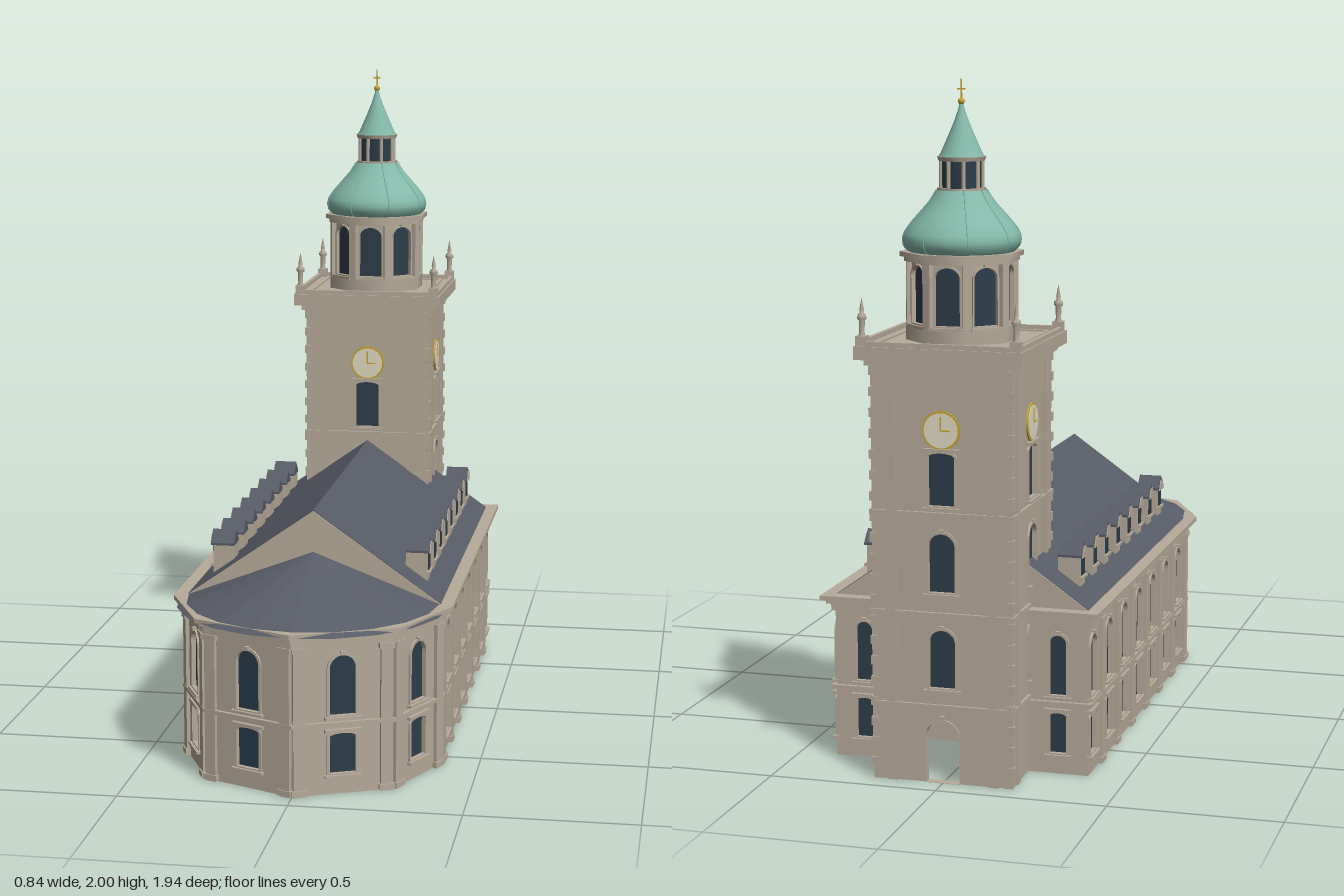
import * as THREE from 'three';

const mat = (name, color) => { const m = new THREE.MeshStandardMaterial({ color }); m.name = name; return m; };
const stone = mat('stone', 0xb7ab99), slate = mat('slate', 0x585c67), copper = mat('copper', 0x84b9a9);
const glass = mat('glass', 0x2d3e4b), gold = mat('gold', 0xc9a432), cream = mat('cream', 0xe2dbc4);

function add(parent, name, geo, material, x = 0, y = 0, z = 0) {
  const m = new THREE.Mesh(geo, material);
  m.name = name;
  m.position.set(x, y, z);
  parent.add(m);
  return m;
}
const box = (w, h, d) => new THREE.BoxGeometry(w, h, d);
const cyl = (r0, r1, h, n) => new THREE.CylinderGeometry(r0, r1, h, n);
const lathe = (pts, n) => new THREE.LatheGeometry(pts.map(p => new THREE.Vector2(...p)), n);
const extrude = (shape, depth) => new THREE.ExtrudeGeometry(shape, { depth, bevelEnabled: false, curveSegments: 8 });
const polygon = pts => new THREE.Shape(pts.map(p => new THREE.Vector2(...p)));
function group(parent, name, x = 0, y = 0, z = 0, turn = 0) {
  const g = new THREE.Group();
  g.name = name;
  g.position.set(x, y, z);
  g.rotation.y = turn;
  parent.add(g);
  return g;
}

// Arched opening outline, grown by e on all sides
function arch({ u, y, w, h, rise }, e = 0, T = THREE.Shape) {
  const s = new T(), r = w / 2 + e;
  s.moveTo(u - r, y - e);
  s.lineTo(u + r, y - e);
  s.lineTo(u + r, y + h - rise);
  s.absellipse(u, y + h - rise, r, rise + e, 0, Math.PI, false);
  s.closePath();
  return s;
}

// Thin wall with arched openings, facing local +z, with frames, sills and panes
function wall(parent, name, len, h, openings) {
  const s = polygon([[-len / 2, 0], [len / 2, 0], [len / 2, h], [-len / 2, h]]);
  openings.forEach(o => s.holes.push(arch(o, 0, THREE.Path)));
  add(parent, name, extrude(s, 0.02), stone, 0, 0, -0.02);
  for (const o of openings) {
    if (!o.open) add(parent, 'windowPane', extrude(arch(o, 0.001), 0.004), glass, 0, 0, -0.012);
    const f = arch(o, o.e ?? 0.008);
    f.holes.push(arch(o, 0, THREE.Path));
    add(parent, 'windowFrame', extrude(f, 0.006), stone);
    if (o.y > 0.01) add(parent, 'windowSill', box(o.w + 0.03, 0.008, 0.02), stone, o.u, o.y - 0.008, 0.004);
    add(parent, 'windowHood', box(o.rise > 0.02 ? 0.014 : o.w + 0.03, 0.01, 0.016), stone, o.u, o.y + o.h + 0.008, 0.004);
  }
}
const lower = (u, w = 0.068, open = false) => ({ u, y: 0.062, w, h: 0.12, rise: 0.01, open });
const upper = (u, w = 0.068, open = false) => ({ u, y: 0.235, w, h: 0.178, rise: w / 2, open });

function pilaster(parent, u) {
  add(parent, 'pilaster', box(0.036, 0.45, 0.016), stone, u, 0.225, 0.003);
  for (const y of [0.012, 0.435]) add(parent, 'pilasterCap', box(0.046, 0.016, 0.024), stone, u, y, 0.003);
}

// Church plan (x, z), pushed outwards by o
const half = [[0.385, -0.755], [0.385, 0.575], [0.275, 0.81], [0, 0.93]];
const plan = [...half, ...half.slice(0, 3).reverse().map(([x, z]) => [-x, z])];
function grown(o) {
  const n = plan.length;
  const normal = (a, b) => { const dx = b[0] - a[0], dz = b[1] - a[1], l = Math.hypot(dx, dz); return [dz / l, -dx / l]; };
  return plan.map((p, i) => {
    const a = normal(plan[(i + n - 1) % n], p), b = normal(p, plan[(i + 1) % n]);
    const k = o / (1 + a[0] * b[0] + a[1] * b[1]);
    return [p[0] + (a[0] + b[0]) * k, -(p[1] + (a[1] + b[1]) * k)];
  });
}
function band(parent, name, o, y, h, hollow) {
  const s = polygon(grown(o));
  if (hollow) s.holes.push(new THREE.Path(grown(-0.015).map(p => new THREE.Vector2(...p))));
  add(parent, name, extrude(s, h).rotateX(-Math.PI / 2), stone, 0, y, 0);
}

function buildNave(root) {
  const nave = group(root, 'nave');
  const zs = [0.44, 0.248, 0.056, -0.136, -0.328, -0.52, -0.711];
  for (const s of [-1, 1]) {
    // Long side wall; local x runs along -z on the +x side
    const side = group(nave, 'sideWall', s * 0.385, 0, -0.09, s * Math.PI / 2);
    const u = z => -s * (z + 0.09);
    wall(side, 'naveWall', 1.33, 0.47, zs.flatMap((z, i) => [lower(u(z)), upper(u(z), 0.068, s < 0 && i === 1)]));
    zs.forEach(z => pilaster(side, u(z + 0.096)));
    // Apse faces
    for (let i = 1; i < 3; i++) {
      const [a, b] = [half[i], half[i + 1]], dx = b[0] - a[0], dz = b[1] - a[1], len = Math.hypot(dx, dz);
      const face = group(nave, 'apseFace', s * (a[0] + b[0]) / 2, 0, (a[1] + b[1]) / 2, Math.atan2(s * dz, -dx));
      wall(face, 'apseWall', len, 0.47, [lower(0, 0.078, s < 0 && i === 1), upper(0, 0.078)]);
      for (const e of [-1, 1]) pilaster(face, e * (len / 2 - 0.02));
    }
    // Back walls beside the tower
    const back = group(nave, 'backWall', s * 0.295, 0, -0.755, Math.PI);
    wall(back, 'naveBackWall', 0.18, 0.47, [lower(0, 0.05), upper(0, 0.05)]);
  }
  band(nave, 'stringCourse', 0.012, 0.205, 0.012, true);
  band(nave, 'frieze', 0.01, 0.443, 0.025, false);
  band(nave, 'cornice', 0.022, 0.465, 0.013, false);
  band(nave, 'corniceTop', 0.036, 0.478, 0.013, false);

  // Main roof with stone gables
  const tri = polygon([[-0.387, 0.488], [0.387, 0.488], [0, 0.762]]);
  add(nave, 'mainRoof', extrude(tri, 1.308), slate, 0, 0, -0.748);
  const gable = polygon([[-0.385, 0.488], [0.385, 0.488], [0, 0.759]]);
  add(nave, 'frontGable', extrude(gable, 0.004), stone, 0, 0, 0.56);
  add(nave, 'backGable', extrude(gable, 0.004), stone, 0, 0, -0.752);

  // Faceted half-cone over the apse
  const cone = new THREE.ConeGeometry(1, 0.155, 10, 1, false, -Math.PI / 2, Math.PI).scale(0.408, 1, 0.4).toNonIndexed();
  cone.computeVertexNormals();
  add(nave, 'apseRoof', cone, slate, 0, 0.5575, 0.563);

  // Dormers, ridge across the slope
  const front = polygon([[-0.03, 0.615], [0.03, 0.615], [0.012, 0.646], [-0.012, 0.646]]);
  const cap = polygon([[-0.036, 0.617], [0.036, 0.617], [0.036, 0.624], [0, 0.66], [-0.036, 0.624]]);
  for (const s of [-1, 1]) for (let i = 0; i < 8; i++) {
    const d = group(nave, 'dormer', 0, 0, 0.42 - i * 0.1466, s * Math.PI / 2);
    add(d, 'dormerBody', box(0.056, 0.115, 0.066), stone, 0, 0.5625, 0.295);
    add(d, 'dormerRoof', extrude(cap, 0.072), slate, 0, 0, 0.262);
    add(d, 'dormerGable', extrude(front, 0.004), stone, 0, 0, 0.333);
    add(d, 'dormerWindow', box(0.032, 0.052, 0.004), glass, 0, 0.587, 0.329);
    add(d, 'dormerSill', box(0.064, 0.008, 0.012), stone, 0, 0.555, 0.33);
  }
}

function buildTower(root) {
  const t = group(root, 'tower', 0, 0, -0.722);
  const R = 0.205;
  const win = (y, h, rise) => ({ u: 0, y, w: 0.078, h, rise });
  for (let i = 0; i < 4; i++) {
    const a = i * Math.PI / 2;
    const f = group(t, 'towerFace', Math.sin(a) * R, 0, Math.cos(a) * R, a);
    const open = [win(0.81, 0.152, 0.012)];
    if (i > 0) open.push(win(0.56, 0.17, 0.038), win(0.28, 0.17, 0.038));
    if (i === 2) open.push({ u: 0, y: 0.001, w: 0.1, h: 0.185, rise: 0.05, open: true, e: 0.001 });
    wall(f, 'towerWall', 2 * R, 1.22, open);
    for (const s of [-1, 1]) add(f, 'towerPilaster', box(0.03, 1.21, 0.012), stone, s * 0.15, 0.605, 0.001);
    for (const y of [0.225, 0.495, 0.785]) add(f, 'stringCourse', box(0.428, 0.014, 0.022), stone, 0, y, -0.002);
    // Flat clock
    add(f, 'clockRim', cyl(0.056, 0.056, 0.006, 32).rotateX(Math.PI / 2), gold, 0, 1.027, 0.002);
    add(f, 'clockFace', cyl(0.05, 0.05, 0.004, 32).rotateX(Math.PI / 2), cream, 0, 1.027, 0.005);
    add(f, 'minuteHand', box(0.004, 0.04, 0.002), gold, 0, 1.047, 0.008);
    add(f, 'hourHand', box(0.028, 0.004, 0.002), gold, 0.014, 1.027, 0.008);
    // Parapet with an inner step
    add(f, 'parapet', box(0.47, 0.014, 0.012), stone, 0, 1.268, 0.029);
    add(f, 'platformStep', box(0.41, 0.008, 0.012), stone, 0, 1.262, -0.006);
  }
  for (const sx of [-1, 1]) for (const sz of [-1, 1]) {
    add(t, 'cornerStrip', box(0.03, 1.22, 0.03), stone, sx * 0.193, 0.61, sz * 0.193);
    for (let i = 0; i < 20; i++) add(t, 'quoin', box(0.02, 0.026, 0.02), stone, sx * 0.203, 0.05 + i * 0.06, sz * 0.203);
    // Corner pinnacle
    add(t, 'pinnacleBase', box(0.03, 0.03, 0.03), stone, sx * 0.225, 1.275, sz * 0.225);
    add(t, 'pinnacle', lathe([[0.012, 0], [0.008, 0.01], [0.009, 0.045], [0.014, 0.05], [0.013, 0.06], [0.006, 0.066], [0.007, 0.075], [0, 0.112]], 8),
      stone, sx * 0.225, 1.288, sz * 0.225);
  }
  add(t, 'corniceLower', box(0.445, 0.02, 0.445), stone, 0, 1.215, 0);
  add(t, 'cornice', box(0.49, 0.038, 0.49), stone, 0, 1.242, 0);

  // Octagonal belfry
  const oct = (r, h) => cyl(r, r, h, 8).rotateY(Math.PI / 8);
  add(t, 'belfryBase', oct(0.162, 0.05), stone, 0, 1.275, 0);
  add(t, 'belfryCornice', oct(0.166, 0.014), stone, 0, 1.493, 0);
  add(t, 'belfryCorniceTop', oct(0.178, 0.014), stone, 0, 1.507, 0);
  for (let i = 0; i < 8; i++) {
    const a = i * Math.PI / 4, c = a + Math.PI / 8, A = 0.138;
    const f = group(t, 'belfryFace', Math.sin(a) * A, 1.3, Math.cos(a) * A, a);
    wall(f, 'belfryWall', 0.115, 0.2, [{ u: 0, y: 0.012, w: 0.074, h: 0.165, rise: 0.03, e: 0.005 }]);
    const p = add(t, 'belfryPilaster', box(0.026, 0.2, 0.022), stone, Math.sin(c) * 0.149, 1.4, Math.cos(c) * 0.149);
    p.rotation.y = c;
    add(t, 'lanternColumn', cyl(0.006, 0.006, 0.09, 8), stone, Math.sin(c) * 0.059, 1.727, Math.cos(c) * 0.059);
  }

  // Bell-shaped dome with fine ribs
  const dome = [[0.15, 1.512], [0.166, 1.528], [0.17, 1.548], [0.165, 1.567], [0.148, 1.592], [0.12, 1.624], [0.093, 1.655], [0.072, 1.688]];
  add(t, 'dome', lathe(dome, 32), copper);
  for (let i = 0; i < 8; i++) {
    const curve = new THREE.CatmullRomCurve3(dome.map(([r, y]) => new THREE.Vector3(r, y, 0)));
    add(t, 'domeRib', new THREE.TubeGeometry(curve, 16, 0.002, 5), copper).rotation.y = (i + 0.5) * Math.PI / 4;
  }

  // Lantern, cap and finial
  add(t, 'lanternBase', oct(0.07, 0.01), stone, 0, 1.688, 0);
  add(t, 'lanternGlass', oct(0.058, 0.09), glass, 0, 1.73, 0);
  add(t, 'lanternCornice', cyl(0.07, 0.066, 0.012, 24), stone, 0, 1.776, 0);
  add(t, 'cap', lathe([[0.066, 1.782], [0.059, 1.793], [0.047, 1.82], [0.033, 1.852], [0.02, 1.884], [0.01, 1.912], [0.005, 1.935]], 24), copper);
  add(t, 'finialBall', new THREE.SphereGeometry(0.01, 12, 8), gold, 0, 1.937, 0);
  add(t, 'finialRod', cyl(0.002, 0.003, 0.065, 6), gold, 0, 1.9675, 0);
  add(t, 'finialBar', box(0.024, 0.004, 0.004), gold, 0, 1.972, 0);
}

export function createModel() {
  const root = new THREE.Group();
  root.name = 'church';
  buildNave(root);
  buildTower(root);
  return root;
}
